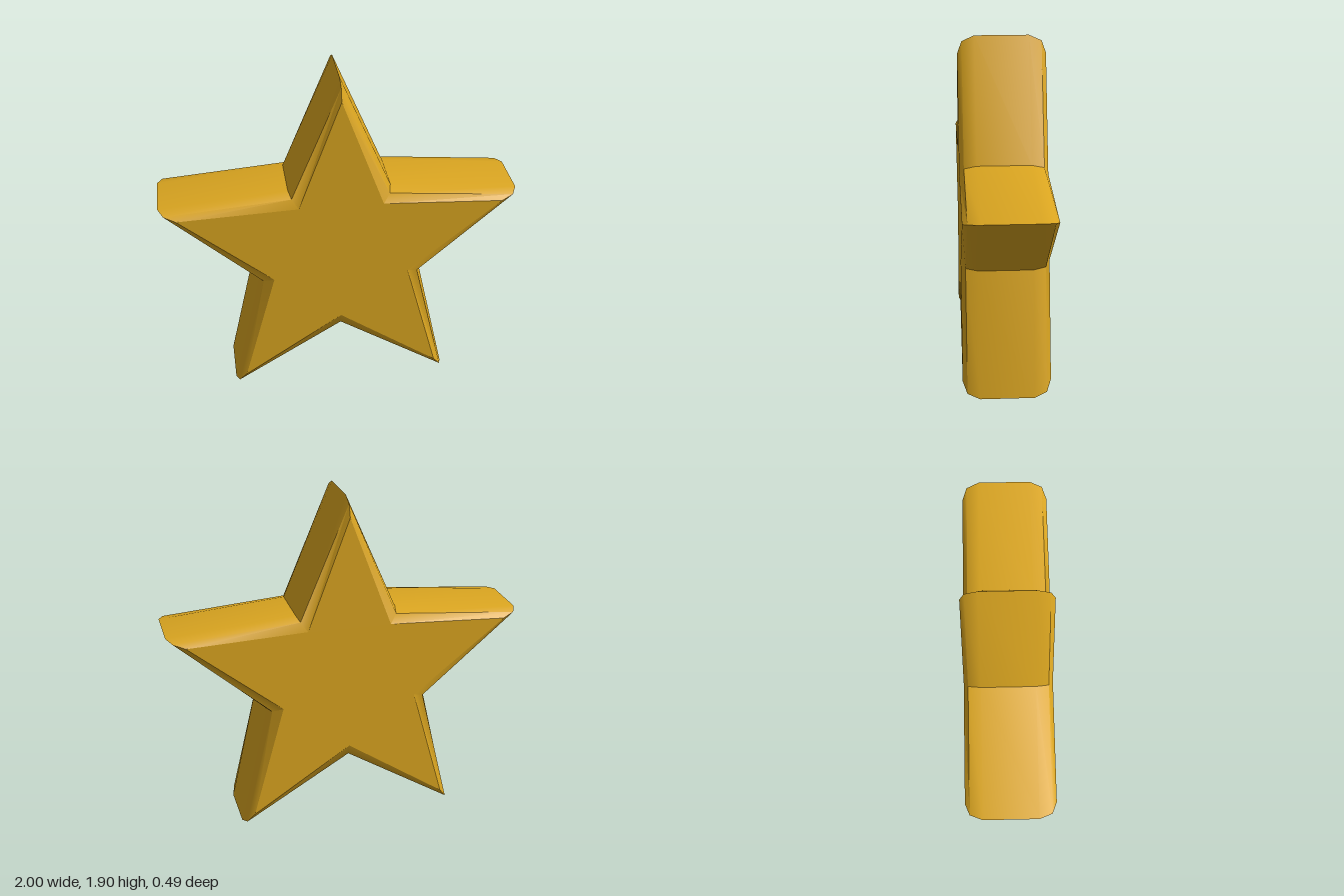
import * as THREE from 'three';
import { toCreasedNormals } from 'three/addons/utils/BufferGeometryUtils.js';

const CENTRE_Y = 0.851;

// Bevel profile from back to front: [z, tip radius, notch radius]
const HALF = [[0.15, 1.0515, 0.485], [0.22, 1.02, 0.462], [0.245, 0.95, 0.40]];
const PROFILE = [
  ...HALF.map(([z, tip, notch]) => [-z, tip, notch]).reverse(),
  ...HALF,
];

// Ten corners of a five-pointed star, anticlockwise from the top
function starRing([z, tip, notch]) {
  return Array.from({ length: 10 }, (_, i) => {
    const a = Math.PI / 2 + (i * Math.PI) / 5;
    const r = i % 2 ? notch : tip;
    return new THREE.Vector3(r * Math.cos(a), r * Math.sin(a), z);
  });
}

// Bevelled walls joining the rings, with sharp tips and notches
function wallGeometry(rings) {
  const points = [];
  for (let k = 0; k < rings.length - 1; k++) {
    for (let i = 0; i < 10; i++) {
      const j = (i + 1) % 10;
      const a = rings[k][i], b = rings[k][j];
      const c = rings[k + 1][j], d = rings[k + 1][i];
      points.push(a, b, c, a, c, d);
    }
  }
  const geometry = new THREE.BufferGeometry().setFromPoints(points);
  geometry.computeVertexNormals();
  return toCreasedNormals(geometry, 0.7);
}

export function createModel() {
  const gold = new THREE.MeshStandardMaterial({ color: 0xdaa520 });
  gold.name = 'gold';

  const star = new THREE.Group();
  star.name = 'star';
  const add = (name, geometry) => {
    const mesh = new THREE.Mesh(geometry, gold);
    mesh.name = name;
    mesh.position.y = CENTRE_Y;
    star.add(mesh);
    return mesh;
  };

  const rings = PROFILE.map(starRing);
  add('bevelledRim', wallGeometry(rings));

  // Flat star faces
  const outline = rings[rings.length - 1].map((p) => new THREE.Vector2(p.x, p.y));
  const face = new THREE.ShapeGeometry(new THREE.Shape(outline));
  add('frontFace', face).position.z = 0.245;
  const back = add('backFace', face);
  back.position.z = -0.245;
  back.rotation.y = Math.PI;

  return star;
}
